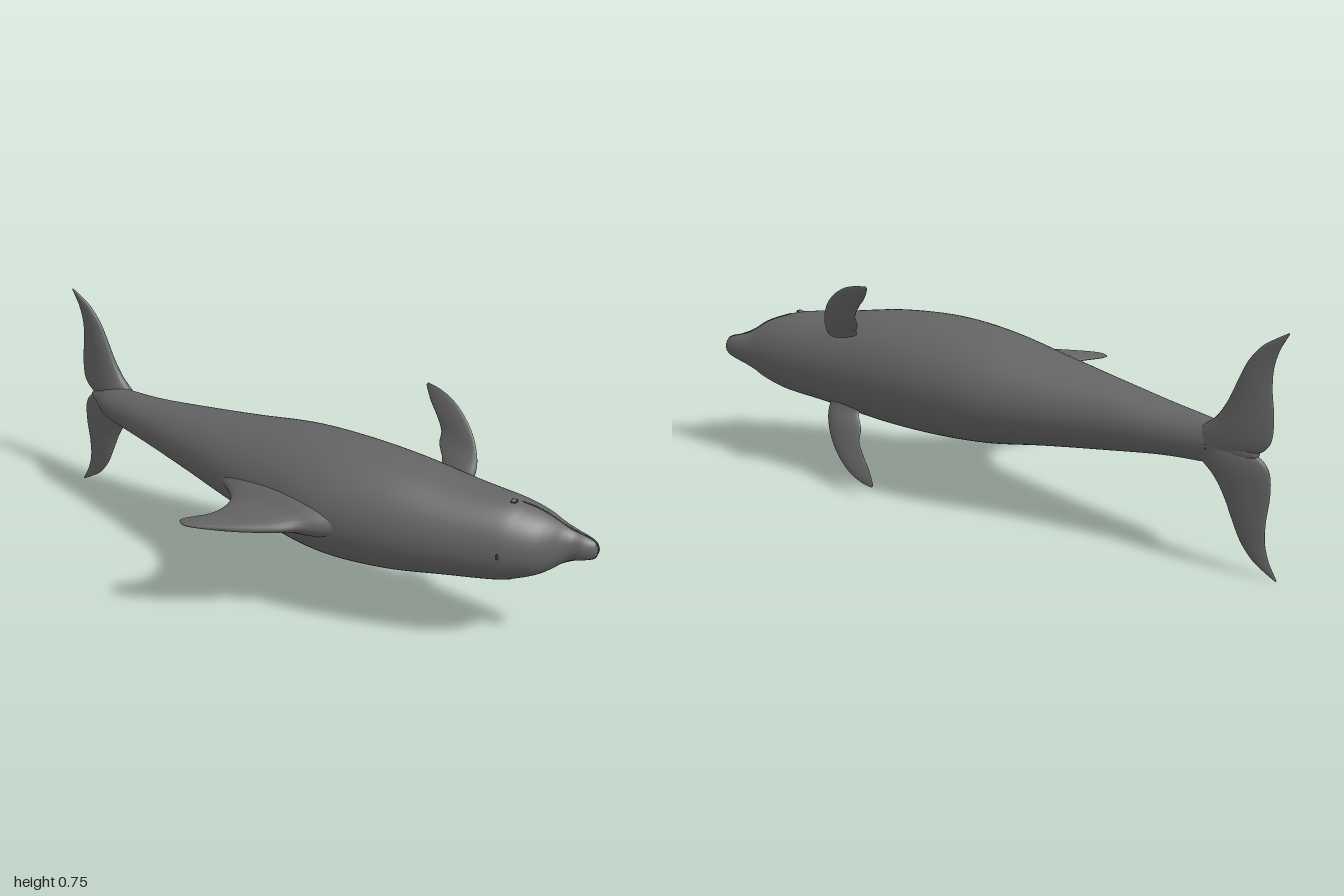
import * as THREE from 'three';

const skin = new THREE.MeshStandardMaterial({ color: 0x646464 });
skin.name = 'grey skin';
const crease = new THREE.MeshStandardMaterial({ color: 0x343434 });
crease.name = 'dark crease';

// Body stations: z, back x, belly x, half width, x of the widest point
const STATIONS = [
  [1.0, 0.25, 0.268, 0.012, 0.259], [0.99, 0.235, 0.275, 0.028, 0.257],
  [0.965, 0.218, 0.281, 0.04, 0.253], [0.93, 0.205, 0.284, 0.05, 0.25],
  [0.905, 0.175, 0.286, 0.062, 0.24], [0.88, 0.135, 0.288, 0.08, 0.22],
  [0.85, 0.1, 0.29, 0.1, 0.21], [0.8, 0.065, 0.294, 0.121, 0.195],
  [0.74, 0.035, 0.297, 0.137, 0.175], [0.6, -0.02, 0.301, 0.154, 0.15],
  [0.4, -0.08, 0.308, 0.183, 0.12], [0.2, -0.113, 0.314, 0.19, 0.105],
  [0, -0.09, 0.31, 0.175, 0.11], [-0.2, -0.05, 0.278, 0.14, 0.12],
  [-0.4, 0.005, 0.242, 0.11, 0.13], [-0.6, 0.055, 0.222, 0.08, 0.14],
  [-0.74, 0.088, 0.212, 0.066, 0.16], [-0.82, 0.108, 0.211, 0.055, 0.18],
  [-0.88, 0.145, 0.208, 0.03, 0.19], [-0.92, 0.17, 0.2, 0.01, 0.19],
];
const spline = (pts) => new THREE.CatmullRomCurve3(pts, false, 'catmullrom', 0.5);
const edges = spline(STATIONS.map((s) => new THREE.Vector3(s[1], s[2], s[0])));
const widths = spline(STATIONS.map((s) => new THREE.Vector3(s[3], s[4], s[0])));

function section(t) {
  const e = edges.getPoint(t), w = widths.getPoint(t);
  return { z: e.z, back: e.x, belly: e.y, half: w.x, mid: w.y };
}

// Half width of the body surface at a given x and z
function surfaceY(x, z) {
  let lo = 0, hi = 1;
  for (let i = 0; i < 30; i++) {
    const m = (lo + hi) / 2;
    if (section(m).z > z) lo = m; else hi = m;
  }
  const s = section(lo);
  const r = x < s.mid ? s.mid - s.back : s.belly - s.mid;
  return s.half * Math.sqrt(Math.max(0, 1 - ((x - s.mid) / r) ** 2));
}

// Skin closed rings of points, cap both ends, and face everything outward
function loft(rings) {
  const n = rings[0].length, pts = rings.flat(), index = [];
  for (let i = 0; i < rings.length - 1; i++) {
    for (let j = 0; j < n; j++) {
      const k = (j + 1) % n;
      const a = i * n + j, b = i * n + k, c = a + n, d = b + n;
      index.push(a, b, c, b, d, c);
    }
  }
  const cap = (start, flip) => {
    const centre = new THREE.Vector3();
    for (let j = 0; j < n; j++) centre.addScaledVector(pts[start + j], 1 / n);
    const c = pts.push(centre) - 1;
    for (let j = 0; j < n; j++) {
      const a = start + j, b = start + (j + 1) % n;
      index.push(c, flip ? b : a, flip ? a : b);
    }
  };
  cap(0, true);
  cap((rings.length - 1) * n, false);
  let volume = 0;
  const cross = new THREE.Vector3();
  for (let i = 0; i < index.length; i += 3) {
    volume += cross.crossVectors(pts[index[i]], pts[index[i + 1]]).dot(pts[index[i + 2]]);
  }
  if (volume < 0) index.reverse();
  const geo = new THREE.BufferGeometry().setFromPoints(pts);
  geo.setIndex(index);
  geo.computeVertexNormals();
  return geo;
}

function bodyGeometry() {
  const rings = [];
  for (let i = 0; i <= 130; i++) {
    const s = section(i / 130), ring = [];
    for (let j = 0; j < 64; j++) {
      const a = (j / 64) * Math.PI * 2, c = Math.cos(a);
      const r = c < 0 ? s.mid - s.back : s.belly - s.mid;
      ring.push(new THREE.Vector3(s.mid + r * c, s.half * Math.sin(a), s.z));
    }
    rings.push(ring);
  }
  return loft(rings);
}

// Fin from rows of [leading xyz, trailing xyz, half thickness]; side mirrors y
function finGeometry(rows, normal, side = 1) {
  const v = (p) => new THREE.Vector3(p[0], p[1] * side, p[2]);
  const lead = spline(rows.map((r) => v(r[0])));
  const trail = spline(rows.map((r) => v(r[1])));
  const thick = spline(rows.map((r) => new THREE.Vector3(r[2], 0, 0)));
  const dir = v(normal).normalize(), rings = [];
  for (let i = 0; i <= 48; i++) {
    const t = i / 48, a = lead.getPoint(t), b = trail.getPoint(t);
    const h = Math.max(0.0005, thick.getPoint(t).x), ring = [];
    for (let j = 0; j < 28; j++) {
      const q = (j / 28) * Math.PI * 2, c = (1 - Math.cos(q)) / 2;
      ring.push(a.clone().lerp(b, c).addScaledVector(dir, h * Math.sin(q) * (1.3 - 0.6 * c)));
    }
    rings.push(ring);
  }
  return loft(rings);
}

const DORSAL = [
  [[-0.05, 0, 0.36], [-0.02, 0, -0.23], 0.08], [[-0.118, 0, 0.265], [-0.095, 0, -0.12], 0.052],
  [[-0.16, 0, 0.2], [-0.14, 0, -0.078], 0.031], [[-0.215, 0, 0.142], [-0.2, 0, -0.067], 0.021],
  [[-0.275, 0, 0.055], [-0.25, 0, -0.08], 0.015], [[-0.325, 0, -0.04], [-0.285, 0, -0.105], 0.01],
  [[-0.345, 0, -0.09], [-0.31, 0, -0.124], 0.006], [[-0.344, 0, -0.115], [-0.33, 0, -0.13], 0.002],
];
const FLUKE = [
  [[0.17, -0.01, -0.68], [0.19, -0.002, -0.895], 0.032], [[0.18, 0.05, -0.74], [0.19, 0.012, -0.935], 0.03],
  [[0.188, 0.09, -0.787], [0.19, 0.05, -0.962], 0.025], [[0.19, 0.145, -0.822], [0.19, 0.12, -0.966], 0.02],
  [[0.19, 0.21, -0.85], [0.19, 0.2, -0.957], 0.016], [[0.19, 0.275, -0.88], [0.19, 0.265, -0.958], 0.011],
  [[0.19, 0.325, -0.92], [0.19, 0.318, -0.972], 0.008], [[0.19, 0.356, -0.965], [0.19, 0.35, -0.988], 0.005],
  [[0.19, 0.374, -0.996], [0.19, 0.372, -1], 0.002],
];
const FLIPPER = [
  [[0.22, 0.09, 0.57], [0.23, 0.09, 0.44], 0.025], [[0.25, 0.135, 0.575], [0.25, 0.135, 0.455], 0.018],
  [[0.275, 0.18, 0.562], [0.28, 0.175, 0.425], 0.013], [[0.297, 0.235, 0.53], [0.3, 0.21, 0.418], 0.011],
  [[0.32, 0.28, 0.48], [0.315, 0.25, 0.39], 0.009], [[0.335, 0.31, 0.43], [0.33, 0.28, 0.36], 0.007],
  [[0.345, 0.326, 0.38], [0.342, 0.305, 0.34], 0.004], [[0.349, 0.333, 0.335], [0.347, 0.325, 0.33], 0.001],
];

export function createModel() {
  const model = new THREE.Group();
  const add = (name, geo, mat = skin) => {
    const mesh = new THREE.Mesh(geo, mat);
    mesh.name = name;
    mesh.position.y = 0.375;
    model.add(mesh);
    return mesh;
  };

  add('body', bodyGeometry());
  add('dorsalFin', finGeometry(DORSAL, [0, 1, 0]));

  // Paired flippers, tail flukes and eyes
  for (const side of [1, -1]) {
    const label = side > 0 ? 'upper' : 'lower';
    add(label + 'Flipper', finGeometry(FLIPPER, [0.88, -0.47, 0], side));
    add(label + 'Fluke', finGeometry(FLUKE, [1, 0, 0], side));
    const y = 0.375 + side * surfaceY(0.165, 0.755);
    const eye = add(label + 'Eye', new THREE.SphereGeometry(0.01, 20, 14));
    eye.position.set(0.165, y - side * 0.003, 0.755);
    const lid = add(label + 'Eyelid', new THREE.TorusGeometry(0.011, 0.002, 8, 24), crease);
    lid.position.set(0.165, y, 0.755);
    lid.rotation.x = Math.PI / 2 - side * 0.25;
  }

  // Mouth line wrapping round the beak
  const half = [[0.185, 0.775], [0.2, 0.81], [0.215, 0.855], [0.235, 0.9], [0.248, 0.94], [0.254, 0.975], [0.256, 0.993]]
    .map(([x, z]) => new THREE.Vector3(x, surfaceY(x, z), z));
  const mirrored = half.map((p) => new THREE.Vector3(p.x, -p.y, p.z)).reverse();
  const path = new THREE.CatmullRomCurve3([...half, new THREE.Vector3(0.257, 0, 0.999), ...mirrored]);
  add('mouthLine', new THREE.TubeGeometry(path, 120, 0.0025, 8), crease);

  // Blowhole on the forehead
  const hole = add('blowhole', new THREE.SphereGeometry(1, 16, 12), crease);
  hole.scale.set(0.004, 0.012, 0.004);
  hole.position.set(0.05, 0.375, 0.77);

  return model;
}
